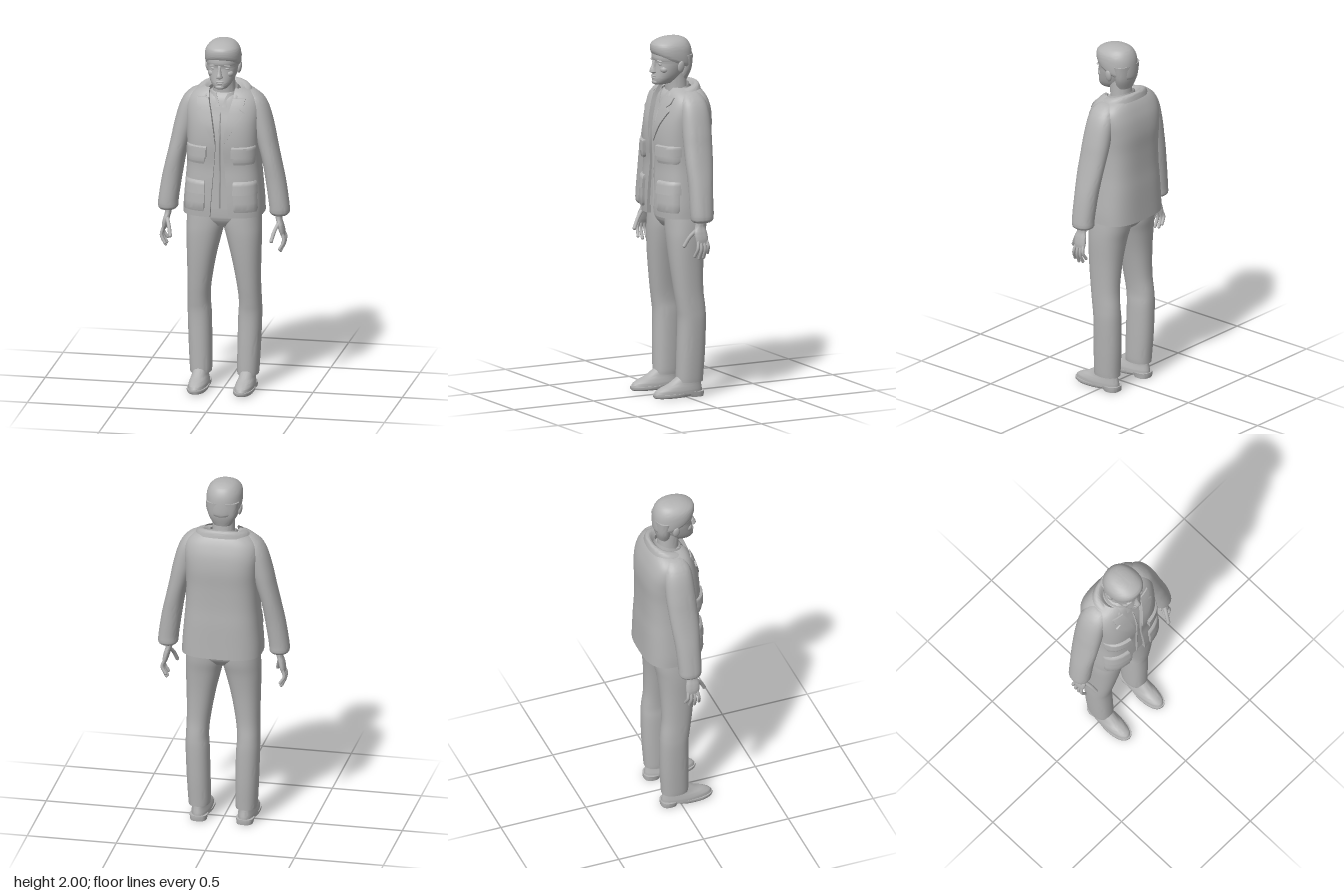
import * as THREE from 'three';
import { toCreasedNormals } from 'three/addons/utils/BufferGeometryUtils.js';

const grey = new THREE.MeshStandardMaterial({ color: 0xb3b3b3, side: THREE.DoubleSide });
grey.name = 'plain grey';

// Smooth in-between rows through a list of numeric rows
function densify(rows, steps = 5) {
  const out = [];
  const at = (i) => rows[Math.min(Math.max(i, 0), rows.length - 1)];
  for (let i = 0; i < rows.length - 1; i++) {
    for (let k = 0; k < steps; k++) {
      const t = k / steps;
      out.push(rows[i].map((p1, c) => {
        const p0 = at(i - 1)[c], p2 = at(i + 1)[c], p3 = at(i + 2)[c];
        return p1 + 0.5 * t * (p2 - p0 + t * (2 * p0 - 5 * p1 + 4 * p2 - p3 + t * (3 * (p1 - p2) + p3 - p0)));
      }));
    }
  }
  out.push(rows[rows.length - 1]);
  return out;
}

// Grid of points to a surface; caps close the first and last rows
function skin(grid, caps = []) {
  const pos = [];
  const tri = (a, b, c) => pos.push(...a, ...b, ...c);
  for (let i = 0; i < grid.length - 1; i++) {
    for (let j = 0; j < grid[i].length - 1; j++) {
      const a = grid[i][j], b = grid[i][j + 1], c = grid[i + 1][j + 1], d = grid[i + 1][j];
      tri(a, b, c);
      tri(a, c, d);
    }
  }
  caps.forEach((mid, k) => {
    const row = k ? grid[grid.length - 1] : grid[0];
    for (let j = 0; j < row.length - 1; j++) {
      if (k) tri(mid, row[j], row[j + 1]);
      else tri(mid, row[j + 1], row[j]);
    }
  });
  const geo = new THREE.BufferGeometry();
  geo.setAttribute('position', new THREE.Float32BufferAttribute(pos, 3));
  return toCreasedNormals(geo, 0.85);
}

// Upright loft; ring = [y, x0, x1, zBack, zFront, tilt, frontGap]
function loft(rings, { n = 2.2, seg = 36, side = 1, open = false } = {}) {
  const rows = densify(rings.map(([y, a, b, zb, zf, tilt = 0, gap = 0]) =>
    [y, side * (a + b) / 2, (b - a) / 2, (zb + zf) / 2, (zf - zb) / 2, tilt, gap]));
  const pw = (v) => Math.sign(v) * Math.abs(v) ** (2 / n);
  const grid = rows.map(([y, cx, rx, cz, rz, tilt, gap]) => {
    const g = open ? Math.asin(Math.min(1, (Math.max(gap, 0) / rx) ** (n / 2))) : 0;
    const row = [];
    for (let j = 0; j <= seg; j++) {
      const a = g + (j / seg) * (2 * Math.PI - 2 * g);
      const z = cz + rz * pw(Math.cos(a));
      row.push([cx + rx * pw(Math.sin(a)), y + tilt * z, z]);
    }
    if (open) { // turned-in front edges
      const inward = ([x, py, z]) => [x, py, z - 0.025];
      row.unshift(inward(row[0]));
      row.push(inward(row[row.length - 1]));
    }
    return row;
  });
  const mid = ([y, cx, , cz, , tilt]) => [cx, y + tilt * cz, cz];
  return skin(grid, open ? [] : [mid(rows[0]), mid(rows[rows.length - 1])]);
}
const sym = (rings) => rings.map(([y, h, ...rest]) => [y, -h, h, ...rest]);

// Jacket: y, half width, back, front, tilt, half opening
const JACKET = [
  [1.01, 0.222, -0.19, 0.135, 0, 0.052], [1.08, 0.22, -0.188, 0.138, 0, 0.047],
  [1.2, 0.21, -0.185, 0.135, 0, 0.038], [1.3, 0.202, -0.18, 0.13, 0, 0.03],
  [1.42, 0.2, -0.18, 0.138, 0, 0.022], [1.52, 0.205, -0.183, 0.13, 0, 0.034],
  [1.6, 0.21, -0.174, 0.11, 0, 0.05], [1.66, 0.2, -0.155, 0.088, 0, 0.065],
  [1.7, 0.165, -0.135, 0.068, 0, 0.07], [1.725, 0.11, -0.115, 0.045, 0, 0.07]];
const JACKET_ROWS = densify(JACKET);
function jacketZ(x, y) {
  let i = 0;
  while (i < JACKET_ROWS.length - 2 && JACKET_ROWS[i + 1][0] < y) i++;
  const a = JACKET_ROWS[i], b = JACKET_ROWS[i + 1];
  const t = Math.min(Math.max((y - a[0]) / (b[0] - a[0]), 0), 1);
  const [h, zb, zf] = [1, 2, 3].map((c) => a[c] + (b[c] - a[c]) * t);
  const q = Math.min(Math.abs(x) / h, 0.99);
  return (zb + zf) / 2 + (zf - zb) / 2 * (1 - q ** 3) ** (1 / 3);
}

// Raised patch lying on the jacket front; row = [y, xInner, xOuter, height]
function patch(rows, side) {
  const cols = 8, grid = [];
  const line = ([y, a, b, h], flat) => {
    const [x0, x1] = side > 0 ? [a, b] : [-b, -a];
    const row = [];
    for (let j = -1; j <= cols + 1; j++) {
      const edge = flat || j < 0 || j > cols;
      const x = x0 + (x1 - x0) * Math.min(Math.max(j / cols, 0), 1);
      row.push([x, y, jacketZ(x, y) + (edge ? -0.006 : h)]);
    }
    return row;
  };
  grid.push(line(rows[0], true));
  rows.forEach((r, i) => {
    const next = rows[i + 1];
    for (let k = 0; k < (next ? 4 : 1); k++) grid.push(line(r.map((v, c) => next ? v + (next[c] - v) * k / 4 : v)));
  });
  grid.push(line(rows[rows.length - 1], true));
  return skin(grid);
}

export function createModel() {
  const model = new THREE.Group();
  model.name = 'standingMan';
  const add = (name, geo) => {
    const mesh = new THREE.Mesh(geo, grey);
    mesh.name = name;
    model.add(mesh);
    return mesh;
  };
  const blob = (name, x, y, z, rx, ry, rz, roll = 0) => {
    const mesh = add(name, new THREE.SphereGeometry(1, 18, 12));
    mesh.position.set(x, y, z);
    mesh.scale.set(rx, ry, rz);
    mesh.rotation.z = roll;
  };

  // Head and neck
  add('neck', loft(sym([[1.6, 0.075, -0.085, 0.045], [1.7, 0.062, -0.075, 0.04], [1.8, 0.06, -0.07, 0.05]])));
  add('head', loft(sym([[1.737, 0.022, 0.05, 0.11], [1.745, 0.04, 0.015, 0.122], [1.77, 0.059, -0.025, 0.127],
    [1.8, 0.072, -0.05, 0.123], [1.84, 0.083, -0.07, 0.117], [1.865, 0.087, -0.08, 0.116],
    [1.885, 0.089, -0.085, 0.123], [1.92, 0.088, -0.085, 0.117], [1.96, 0.065, -0.06, 0.09]])));
  add('nose', loft(sym([[1.8, 0.01, 0.1, 0.128], [1.808, 0.019, 0.1, 0.145], [1.818, 0.016, 0.1, 0.147],
    [1.845, 0.009, 0.1, 0.135], [1.875, 0.01, 0.1, 0.123]]), { seg: 16 }));
  blob('upperLip', 0, 1.785, 0.122, 0.026, 0.005, 0.008);
  blob('lowerLip', 0, 1.775, 0.121, 0.021, 0.006, 0.009);
  blob('chin', 0, 1.752, 0.113, 0.026, 0.015, 0.017);

  // Hair: crown with a fringe, and the nape
  add('hair', loft(sym([[1.852, 0.089, -0.085, 0.117, 0.42], [1.868, 0.097, -0.1, 0.129, 0.42],
    [1.91, 0.099, -0.103, 0.131, 0.3], [1.95, 0.092, -0.097, 0.122, 0.15], [1.98, 0.07, -0.075, 0.095, 0.04],
    [1.995, 0.04, -0.04, 0.06, 0], [2.0, 0.006, -0.01, 0.02, 0]])));
  add('napeHair', loft(sym([[1.76, 0.05, -0.077, 0], [1.82, 0.077, -0.095, -0.01], [1.9, 0.092, -0.101, 0]])));

  // Shirt under the jacket, with a small collar and a front zip
  add('shirt', loft(sym([[1.055, 0.19, -0.12, 0.122], [1.25, 0.185, -0.12, 0.117], [1.42, 0.18, -0.12, 0.122],
    [1.52, 0.17, -0.12, 0.112], [1.6, 0.14, -0.11, 0.09], [1.67, 0.1, -0.095, 0.068], [1.7, 0.075, -0.08, 0.045]]), { n: 2.8 }));
  add('shirtCollar', loft(sym([[1.645, 0.095, -0.095, 0.086, -0.2, 0.006], [1.69, 0.082, -0.09, 0.07, -0.25, 0.02],
    [1.715, 0.076, -0.086, 0.06, -0.28, 0.034]]), { open: true }));
  add('zip', loft(sym([[1.06, 0.006, 0.1, 0.13], [1.25, 0.006, 0.1, 0.125], [1.42, 0.006, 0.1, 0.13],
    [1.52, 0.006, 0.09, 0.118], [1.6, 0.004, 0.07, 0.095]]), { seg: 12 }));

  // Jacket body and fold-over collar
  add('jacket', loft(sym(JACKET), { n: 3, seg: 64, open: true }));
  add('jacketCollar', loft(sym([[1.683, 0.16, -0.14, 0.097, -0.2, 0.085], [1.71, 0.142, -0.131, 0.088, -0.25, 0.08],
    [1.719, 0.112, -0.114, 0.072, -0.25, 0.075], [1.7, 0.09, -0.095, 0.055, -0.25, 0.07]]), { open: true, seg: 48 }));

  // Trouser seat
  add('trouserSeat', loft(sym([[0.94, 0.1, -0.1, 0.06], [0.98, 0.18, -0.132, 0.085],
    [1.02, 0.203, -0.14, 0.09], [1.1, 0.2, -0.14, 0.09]]), { n: 2.5 }));

  for (const side of [1, -1]) {
    const w = side > 0 ? 'left' : 'right';
    const half = (rings, opts) => loft(rings, { side, ...opts });

    // Face details in pairs
    blob(w + 'Eye', side * 0.035, 1.855, 0.1, 0.017, 0.008, 0.012);
    blob(w + 'Brow', side * 0.036, 1.874, 0.106, 0.025, 0.006, 0.013, side * -0.15);
    blob(w + 'Cheek', side * 0.045, 1.825, 0.082, 0.026, 0.022, 0.025);
    blob(w + 'Ear', side * 0.09, 1.84, 0.0, 0.011, 0.034, 0.02, side * -0.15);

    // Lapel and pockets
    add(w + 'Lapel', patch([[1.43, 0.022, 0.03, 0.006], [1.52, 0.034, 0.078, 0.009], [1.605, 0.05, 0.135, 0.009],
      [1.625, 0.055, 0.105, 0.009], [1.645, 0.06, 0.13, 0.009], [1.68, 0.068, 0.135, 0.008]], side));
    add(w + 'ChestPocket', patch([[1.315, 0.085, 0.185, 0.014], [1.33, 0.078, 0.19, 0.018], [1.41, 0.075, 0.19, 0.012]], side));
    add(w + 'ChestFlap', patch([[1.355, 0.07, 0.193, 0.024], [1.41, 0.07, 0.193, 0.017], [1.415, 0.072, 0.19, 0.008]], side));
    add(w + 'HipPocket', patch([[1.045, 0.088, 0.2, 0.012], [1.06, 0.082, 0.205, 0.016], [1.2, 0.082, 0.196, 0.01]], side));
    add(w + 'HipFlap', patch([[1.145, 0.078, 0.203, 0.021], [1.21, 0.078, 0.198, 0.014], [1.217, 0.08, 0.195, 0.006]], side));

    // Sleeve
    add(w + 'Sleeve', half([[1.01, 0.272, 0.355, -0.055, 0.045], [1.025, 0.258, 0.367, -0.07, 0.055],
      [1.07, 0.254, 0.365, -0.072, 0.058], [1.2, 0.235, 0.345, -0.082, 0.058], [1.32, 0.214, 0.318, -0.096, 0.062],
      [1.42, 0.185, 0.296, -0.105, 0.06], [1.5, 0.16, 0.28, -0.11, 0.058], [1.6, 0.135, 0.253, -0.11, 0.052],
      [1.66, 0.118, 0.224, -0.1, 0.043], [1.695, 0.112, 0.188, -0.08, 0.022], [1.708, 0.12, 0.16, -0.06, 0]]));

    // Hand
    add(w + 'Palm', half([[0.895, 0.322, 0.344, -0.034, 0.036], [0.92, 0.312, 0.344, -0.036, 0.042],
      [0.955, 0.303, 0.337, -0.032, 0.044], [0.99, 0.293, 0.328, -0.024, 0.032], [1.04, 0.29, 0.33, -0.025, 0.025]], { seg: 20 }));
    const finger = (name, r, ...pts) => {
      const path = new THREE.CatmullRomCurve3(pts.map(([x, y, z]) => new THREE.Vector3(side * x, y, z)));
      add(name, new THREE.TubeGeometry(path, 10, r, 10));
      const tip = pts[pts.length - 1];
      blob(name + 'Tip', side * tip[0], tip[1], tip[2], r, r, r);
    };
    [[0.027, 0.042, 0.822], [0.01, 0.015, 0.808], [-0.008, -0.013, 0.812], [-0.025, -0.036, 0.836]].forEach(([z0, z1, y], i) =>
      finger(w + 'Finger' + (i + 1), 0.0088, [0.332, 0.91, z0], [0.343, (0.91 + y) / 2, (z0 + z1) / 2], [0.322, y, z1]));
    finger(w + 'Thumb', 0.0105, [0.312, 0.965, 0.028], [0.295, 0.925, 0.062], [0.283, 0.878, 0.087]);

    // Trouser leg
    add(w + 'TrouserLeg', half([[0.085, 0.074, 0.19, -0.104, 0.048], [0.12, 0.072, 0.193, -0.106, 0.049],
      [0.25, 0.073, 0.2, -0.114, 0.047], [0.42, 0.077, 0.206, -0.117, 0.044], [0.5, 0.082, 0.205, -0.113, 0.052],
      [0.6, 0.073, 0.203, -0.103, 0.066], [0.75, 0.046, 0.205, -0.107, 0.083], [0.88, 0.014, 0.209, -0.12, 0.092],
      [0.96, -0.006, 0.207, -0.134, 0.092], [1.04, -0.006, 0.2, -0.14, 0.088]], { n: 2.3 }));

    // Shoe with sole and heel
    add(w + 'Shoe', half([[0.02, 0.077, 0.182, -0.105, 0.188], [0.04, 0.078, 0.182, -0.104, 0.183],
      [0.06, 0.084, 0.178, -0.1, 0.15], [0.08, 0.09, 0.173, -0.096, 0.1], [0.12, 0.095, 0.168, -0.09, 0.04]]));
    add(w + 'Sole', half([[0.005, 0.078, 0.18, -0.035, 0.185], [0.014, 0.072, 0.186, -0.04, 0.193], [0.027, 0.072, 0.186, -0.05, 0.193]]));
    add(w + 'Heel', half([[0, 0.085, 0.175, -0.108, -0.02], [0.015, 0.083, 0.178, -0.11, -0.01], [0.03, 0.08, 0.18, -0.11, 0]], { n: 2.6 }));
  }
  return model;
}
